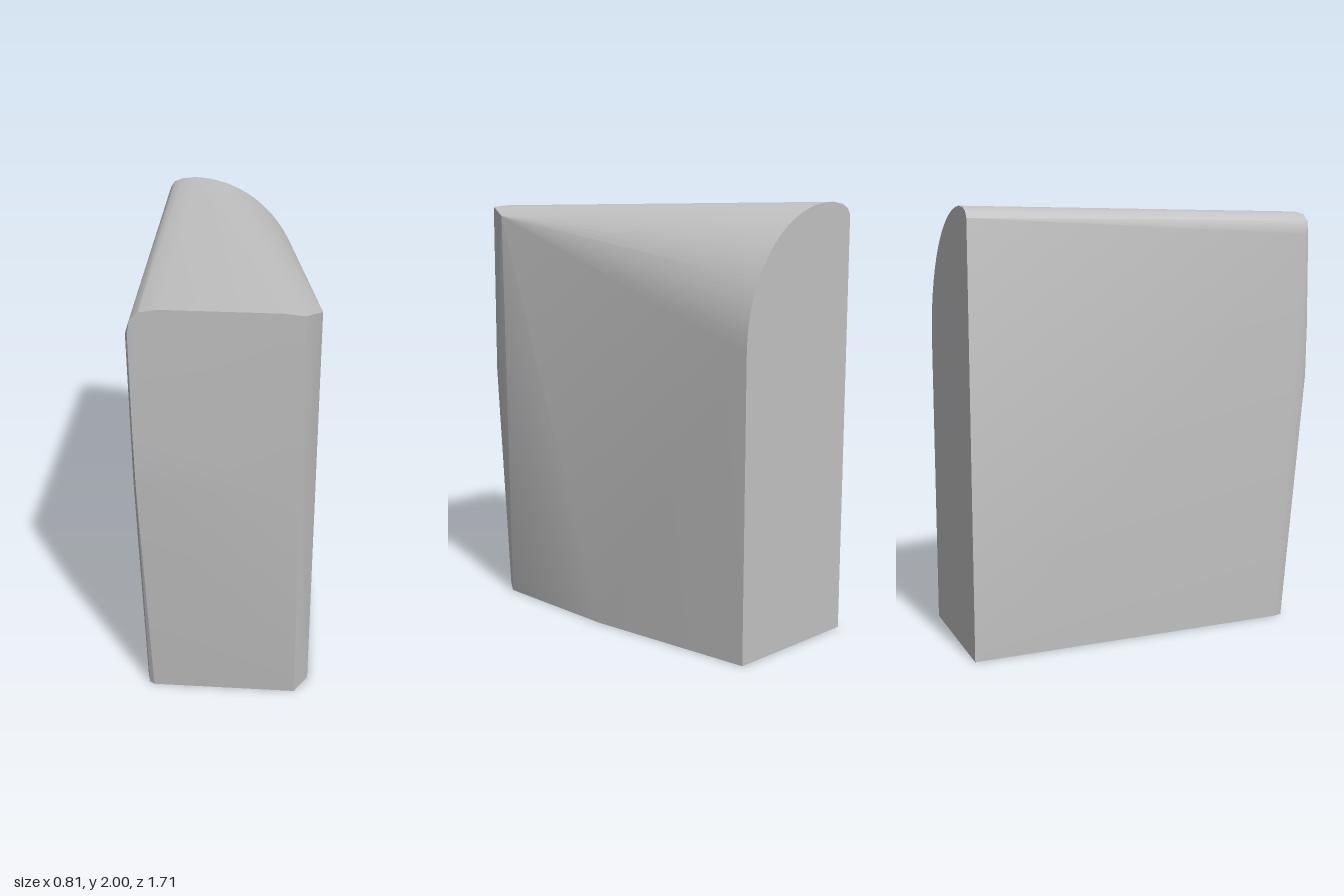
import * as THREE from 'three';
import { ConvexGeometry } from 'three/addons/geometries/ConvexGeometry.js';
import { toCreasedNormals } from 'three/addons/utils/BufferGeometryUtils.js';

export function createModel() {
  const group = new THREE.Group();
  group.name = 'roundedBlock';
  const grey = new THREE.MeshStandardMaterial({ color: 0xc0c0c0 });
  grey.name = 'plain grey';

  const points = [];
  const add = (x, y, z) => points.push(new THREE.Vector3(x, y, z));

  // back outline: a broad arch falling to the left, a small rounding on the right
  const back = -0.85;
  add(-0.405, 0, back);
  add(0.28, 0, back);
  const steps = 16;
  for (let i = 0; i <= steps; i++) {
    const a = (i / steps) * Math.PI / 2;
    add(-0.28 + 0.56 * Math.cos(a), 1.38 + 0.62 * Math.sin(a), back);
  }
  add(-0.345, 1.992, back);
  add(-0.385, 1.975, back);
  add(-0.405, 1.945, back);

  // foot outline, bent along the left side and rounded at the front right
  add(0.387, 0, -0.02);
  add(0.402, 0, 0.655);
  add(0.34, 0, 0.755);
  add(-0.33, 0, 0.76);
  add(-0.353, 0, 0.745);
  add(-0.366, 0, 0.7);

  // front face: leans out to mid height, then stands upright
  add(0.34, 1.15, 0.837);
  add(-0.352, 1.2, 0.855);
  add(-0.364, 1.2, 0.835);
  add(-0.354, 1.45, 0.857);
  add(0.34, 1.987, 0.832);
  add(0.25, 1.996, 0.835);
  add(-0.23, 2, 0.847);
  add(-0.31, 1.987, 0.849);
  add(-0.345, 1.955, 0.85);
  add(-0.356, 1.89, 0.85);
  add(-0.366, 1.89, 0.835);

  // chamfered front left corner
  add(0.403, 1.94, 0.68);

  const body = new THREE.Mesh(toCreasedNormals(new ConvexGeometry(points), 0.45), grey);
  body.name = 'body';
  group.add(body);
  return group;
}
